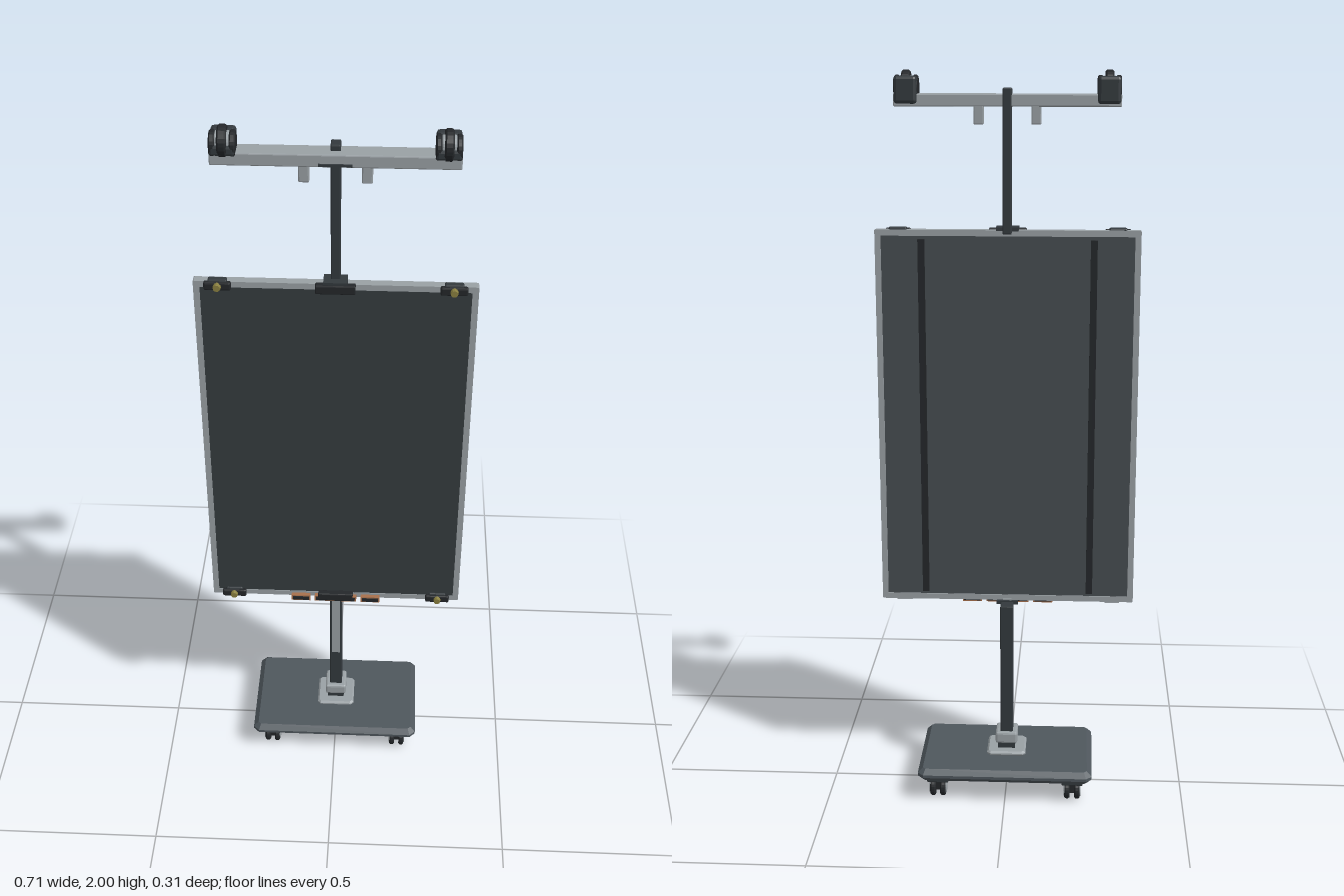
import * as THREE from 'three';
import { RoundedBoxGeometry } from 'three/addons/geometries/RoundedBoxGeometry.js';

const mat = (color) => new THREE.MeshStandardMaterial({ color, flatShading: true });
const slate = mat(0x4f575d), dark = mat(0x33393d), black = mat(0x24272a);
const metal = mat(0x9aa1a5), glass = mat(0x363c3f), backMat = mat(0x474d51);
const brass = mat(0x8a8040), copper = mat(0xa8704c);

function add(parent, name, geometry, material, x = 0, y = 0, z = 0) {
  const mesh = new THREE.Mesh(geometry, material);
  mesh.name = name;
  mesh.position.set(x, y, z);
  parent.add(mesh);
  return mesh;
}

// Box given by its limits on each axis
function block(parent, name, material, [x0, x1], [y0, y1], [z0, z1], r = 0) {
  const s = [x1 - x0, y1 - y0, z1 - z0];
  const geo = r ? new RoundedBoxGeometry(...s, 1, r) : new THREE.BoxGeometry(...s);
  return add(parent, name, geo, material, (x0 + x1) / 2, (y0 + y1) / 2, (z0 + z1) / 2);
}

// Disc with a bevelled rim, axis along x
function disc(parent, name, material, radius, width, x, y, z) {
  const h = width / 2, b = Math.min(0.004, h / 2);
  const pts = [[0, -h], [radius - b, -h], [radius, b - h], [radius, h - b], [radius - b, h], [0, h]];
  const geo = new THREE.LatheGeometry(pts.map((p) => new THREE.Vector2(...p)), 24);
  return add(parent, name, geo.rotateZ(Math.PI / 2), material, x, y, z);
}

// Rectangle with cut corners
function cutRect(w, d, c) {
  const s = new THREE.Shape();
  [[-w + c, -d], [w - c, -d], [w, -d + c], [w, d - c], [w - c, d], [-w + c, d], [-w, d - c], [-w, -d + c]]
    .forEach(([x, y], i) => (i ? s.lineTo(x, y) : s.moveTo(x, y)));
  s.closePath();
  return s;
}

function slab(w, d, cut, height, bevel) {
  const geo = new THREE.ExtrudeGeometry(cutRect(w - bevel, d - bevel, cut), {
    depth: height - 2 * bevel, bevelEnabled: true, bevelSize: bevel, bevelThickness: bevel, bevelSegments: 1,
  });
  return geo.translate(0, 0, bevel).rotateX(-Math.PI / 2);
}

function makeBase() {
  const g = new THREE.Group();
  g.name = 'base';
  add(g, 'basePlate', slab(0.245, 0.155, 0.008, 0.036, 0.014), slate, 0, 0.061, 0);
  // Casters
  for (const x of [-0.19, 0.19]) for (const z of [-0.106, 0.106]) {
    const c = new THREE.Group();
    c.name = 'caster';
    c.position.set(x, 0, z);
    block(c, 'casterMount', dark, [-0.03, 0.03], [0.048, 0.062], [-0.024, 0.024], 0.003);
    block(c, 'casterFork', black, [-0.007, 0.007], [0.02, 0.055], [-0.012, 0.012]);
    for (const s of [-1, 1]) {
      disc(c, 'casterWheel', black, 0.028, 0.015, s * 0.014, 0.028, 0);
      disc(c, 'casterHub', metal, 0.021, 0.004, s * 0.022, 0.028, 0);
    }
    g.add(c);
  }
  // Foot of the post
  add(g, 'footPlate', slab(0.055, 0.055, 0.006, 0.014, 0.005), metal, 0, 0.096, 0);
  block(g, 'footSocket', dark, [-0.024, 0.024], [0.108, 0.13], [-0.028, 0.028]);
  block(g, 'collar', metal, [-0.031, 0.031], [0.126, 0.16], [-0.035, 0.035], 0.006);
  return g;
}

function makePosts() {
  const g = new THREE.Group();
  g.name = 'posts';
  block(g, 'lowerPost', dark, [-0.018, 0.018], [0.11, 0.543], [-0.024, 0.021], 0.003);
  block(g, 'slideRail', metal, [-0.012, 0.012], [0.3, 0.55], [0.018, 0.029]);
  block(g, 'upperPost', dark, [-0.012, 0.012], [1.58, 1.955], [0.002, 0.036], 0.003);
  return g;
}

function makePanel() {
  const g = new THREE.Group();
  g.name = 'panel';
  const y = 1.067, w = 0.354, h = 0.522, t = 0.016;
  // Frame with its opening
  const frame = cutRect(w, h, 0.002);
  frame.holes.push(new THREE.Path(cutRect(w - t, h - t, 0.001).getPoints().reverse()));
  add(g, 'panelFrame', new THREE.ExtrudeGeometry(frame, { depth: 0.024, bevelEnabled: false }), metal, 0, y, 0.022);
  block(g, 'screen', glass, [-w + t, w - t], [y - h + t, y + h - t], [0.034, 0.044]);
  block(g, 'backPanel', backMat, [-w + t, w - t], [y - h + t, y + h - t], [0.025, 0.034]);
  for (const s of [-1, 1]) {
    block(g, 'backRail', black, [s * 0.23 - 0.009, s * 0.23 + 0.009], [0.57, 1.564], [0.016, 0.028]);
  }
  // Corner and middle clamps on the top and bottom edges
  for (const [cy, out] of [[1.58, 1], [0.554, -1]]) {
    for (const s of [-1, 1]) {
      const x = s * 0.293;
      block(g, 'cornerClip', black, [x - 0.034, x + 0.034], [cy - 0.011, cy + 0.011], [0.042, 0.057], 0.004);
      block(g, 'clipGrip', dark, [x - 0.024, x + 0.024], [cy - 0.015, cy + 0.015], [0.03, 0.05], 0.004);
      const screw = add(g, 'clipScrew', new THREE.CylinderGeometry(0.009, 0.011, 0.012, 12), brass, x, cy, 0.06);
      screw.rotation.x = Math.PI / 2;
    }
    block(g, 'middleClamp', black, [-0.05, 0.05], [cy - 0.012, cy + 0.012], [0.042, 0.062], 0.003);
    block(g, 'clampBridge', dark, [-0.03, 0.03], [cy + out * 0.013 - 0.005, cy + out * 0.013 + 0.005], [0.012, 0.056]);
  }
  // Tabs under the lower edge
  for (const [x, half] of [[-0.1, 0.027], [0, 0.06], [0.1, 0.027]]) {
    block(g, 'tabTrim', copper, [x - half, x + half], [0.537, 0.555], [0.03, 0.058]);
    block(g, 'tab', black, [x - half + 0.004, x + half - 0.004], [0.541, 0.552], [0.026, 0.061]);
  }
  return g;
}

function makeCrossbar() {
  const g = new THREE.Group();
  g.name = 'crossbar';
  block(g, 'bar', metal, [-0.295, 0.295], [1.908, 1.94], [0.005, 0.058], 0.003);
  block(g, 'barStrip', dark, [-0.04, 0.04], [1.912, 1.918], [0.055, 0.063]);
  for (const s of [-1, 1]) {
    block(g, 'hangingPeg', metal, [s * 0.075 - 0.013, s * 0.075 + 0.013], [1.862, 1.91], [0.02, 0.045], 0.003);
    // Roller head at the end of the bar
    const x = s * 0.263;
    block(g, 'rollerHousing', dark, [x - 0.03, x + 0.03], [1.915, 1.985], [-0.004, 0.03], 0.008);
    block(g, 'rollerCradle', dark, [x - 0.03, x + 0.03], [1.935, 1.96], [0.01, 0.068], 0.006);
    disc(g, 'roller', black, 0.038, 0.022, x, 1.962, 0.038);
    for (const k of [-1, 1]) {
      disc(g, 'rollerSpacer', metal, 0.024, 0.008, x + k * 0.013, 1.962, 0.038);
      disc(g, 'rollerFlange', black, 0.032, 0.014, x + k * 0.024, 1.955, 0.036);
    }
  }
  return g;
}

export function createModel() {
  const model = new THREE.Group();
  model.name = 'displayStand';
  model.add(makeBase(), makePosts(), makePanel(), makeCrossbar());
  return model;
}
